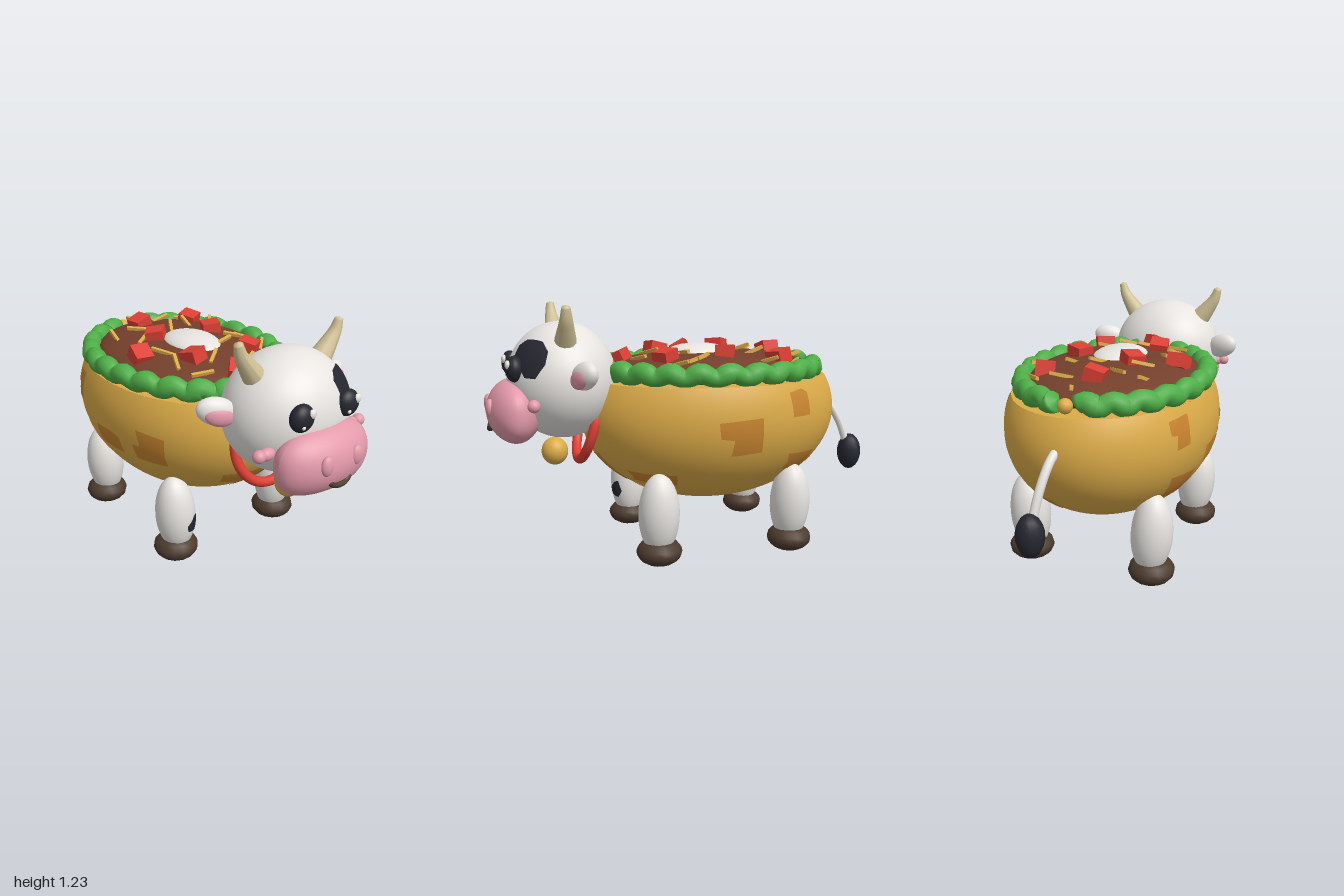
import * as THREE from 'three';

const V = (x, y, z) => new THREE.Vector3(x, y, z);
const paint = (name, color) => Object.assign(new THREE.MeshStandardMaterial({ color }), { name });

export function createModel() {
  const root = new THREE.Group();
  root.name = 'tacoBowlCow';
  const white = paint('white', 0xe9e6e2), black = paint('black', 0x262730), pink = paint('pink', 0xe39aaa);
  const red = paint('red', 0xdc4034), green = paint('lettuce green', 0x4fae48), shellCol = paint('shell yellow', 0xdcab48);
  const char = paint('toasted orange', 0xc98530), meat = paint('meat brown', 0x74402c);
  const horn = paint('horn tan', 0xd0c196), hoof = paint('hoof brown', 0x4c3a2d);
  char.side = black.side = THREE.DoubleSide;

  const add = (name, geo, mat, parent = root) => {
    const m = new THREE.Mesh(geo, mat);
    m.name = name;
    parent.add(m);
    return m;
  };
  const ball = (name, mat, c, r, parent = root, seg = 24) => {
    const m = add(name, new THREE.SphereGeometry(1, seg, Math.ceil(seg * 0.7)).scale(...r), mat, parent);
    m.position.set(...c);
    return m;
  };

  // Tube whose radius follows a rule along the path
  const taper = (points, radius, segs = 24, sides = 14) => {
    const path = new THREE.CatmullRomCurve3(points);
    const geo = new THREE.TubeGeometry(path, segs, 1, sides);
    const pos = geo.attributes.position, v = V();
    for (let i = 0; i < pos.count; i++) {
      const t = Math.floor(i / (sides + 1)) / segs, c = path.getPointAt(t);
      v.fromBufferAttribute(pos, i).sub(c).multiplyScalar(radius(t)).add(c);
      pos.setXYZ(i, v.x, v.y, v.z);
    }
    geo.computeVertexNormals();
    return geo;
  };

  // Thin painted patch that hugs an ellipsoid; outline is given in its tangent plane
  const patch = (name, mat, c, r, p, outline, parent = root, lift = 1.008) => {
    const C = V(...c), R = V(...r);
    const n = p.clone().sub(C).divide(R).divide(R).normalize();
    const t = V(0, 1, 0).cross(n).normalize(), b = n.clone().cross(t);
    const rings = 8, sub = 5, count = outline.length * sub, pos = [], index = [];
    for (let k = 0; k <= rings; k++) {
      for (let i = 0; i < count; i++) {
        const a = outline[Math.floor(i / sub)], e = outline[(Math.floor(i / sub) + 1) % outline.length];
        const f = (i % sub) / sub, s = k / rings;
        const q = p.clone().addScaledVector(t, s * (a[0] + (e[0] - a[0]) * f))
          .addScaledVector(b, s * (a[1] + (e[1] - a[1]) * f));
        q.sub(C).divide(R).normalize().multiplyScalar(lift).multiply(R).add(C);
        pos.push(q.x, q.y, q.z);
        if (k < rings) {
          const i0 = k * count + i, i1 = k * count + (i + 1) % count;
          index.push(i0, i0 + count, i1 + count, i0, i1 + count, i1);
        }
      }
    }
    const geo = new THREE.BufferGeometry();
    geo.setAttribute('position', new THREE.Float32BufferAttribute(pos, 3));
    geo.setIndex(index);
    geo.computeVertexNormals();
    return add(name, geo, mat, parent);
  };

  // Bowl-shaped shell, cut flat at the rim
  const sc = [0, 0.69, -0.12], sr = [0.495, 0.45, 0.66], cut = Math.acos(0.17 / 0.45);
  add('shell', new THREE.SphereGeometry(1, 56, 32, 0, Math.PI * 2, cut, Math.PI - cut).scale(...sr), shellCol).position.set(...sc);
  const lid = add('shellRim', new THREE.CircleGeometry(1, 56).rotateX(-Math.PI / 2).scale(0.458, 1, 0.611), shellCol);
  lid.position.set(0, 0.86, -0.12);

  // Toasted spots: axis to solve, sign, horizontal coordinate, height, width, height of spot
  const spots = [
    ['x', 1, -0.11, 0.63, 0.22, 0.18], ['x', 1, -0.46, 0.47, 0.21, 0.12], ['x', 1, -0.43, 0.77, 0.13, 0.13],
    ['x', 1, -0.61, 0.41, 0.14, 0.1], ['x', -1, 0.2, 0.62, 0.16, 0.16], ['x', -1, -0.08, 0.58, 0.22, 0.11],
    ['x', -1, -0.42, 0.75, 0.13, 0.15], ['x', -1, -0.33, 0.46, 0.2, 0.18], ['z', 1, -0.42, 0.575, 0.2, 0.09],
    ['z', 1, -0.03, 0.43, 0.32, 0.22], ['z', 1, 0.27, 0.41, 0.26, 0.1], ['z', 1, 0.08, 0.32, 0.12, 0.1],
  ];
  const shapes = [
    [[0.5, -0.45], [0.48, 0.5], [-0.5, 0.42], [-0.45, 0], [-0.15, -0.05], [-0.2, -0.5]],
    [[0.42, -0.5], [0.5, 0.4], [-0.5, 0.5], [-0.4, 0.05], [-0.45, -0.35]],
    [[0.45, -0.5], [0.4, 0.35], [0.1, 0.5], [-0.5, 0.4], [-0.42, -0.5]],
  ];
  spots.forEach(([axis, s, a, y, w, h], i) => {
    const ax = axis === 'x' ? 0 : 2, o = 2 - ax;
    const p = [0, y, 0];
    p[o] = a;
    p[ax] = sc[ax] + s * sr[ax] * Math.sqrt(1 - ((a - sc[o]) / sr[o]) ** 2 - ((y - sc[1]) / sr[1]) ** 2);
    patch('toastedSpot', char, sc, sr, V(...p), shapes[i % 3].map(([u, v]) => [u * w, v * h]), root, 1.006);
  });

  // Wavy lettuce roll with a small gap at the back
  const leaf = [];
  for (let i = 0; i <= 132; i++) {
    const a = 0.1 + (i / 132) * (Math.PI * 2 - 0.2);
    leaf.push(V(0.425 * Math.sin(a) - 0.015 * Math.cos(a / 2) ** 2, 0.908 + 0.012 * Math.sin(a * 24), -0.12 - 0.553 * Math.cos(a)));
  }
  add('lettuce', taper(leaf, t => (t === 0 || t === 1 ? 0 : 0.046 + 0.004 * Math.sin(t * 150)), 220, 12), green);
  ball('rimCurl', shellCol, [-0.02, 0.9, -0.69], [0.034, 0.034, 0.034], root, 12);

  // Filling
  ball('meatFilling', meat, [0, 0.9, -0.12], [0.395, 0.09, 0.53], root, 40);
  ball('sourCream', white, [0, 0.97, -0.06], [0.13, 0.055, 0.175]);
  const top = (x, z) => 0.9 + 0.09 * Math.sqrt(Math.max(0, 1 - (x / 0.395) ** 2 - ((z + 0.12) / 0.53) ** 2));
  [[-0.05, -0.46], [0.23, -0.4], [-0.12, -0.2], [0.18, -0.14], [-0.3, -0.06], [-0.13, 0.13], [0.18, 0.16], [-0.03, 0.34]]
    .forEach(([x, z], i) => {
      const m = add('tomatoCube', new THREE.BoxGeometry(0.09, 0.07, 0.09), red);
      m.position.set(x, top(x, z) + 0.012, z);
      m.rotation.set(0.3 * Math.sin(i * 2.1), i * 1.9 + 0.15, 0.3 * Math.cos(i * 1.7));
    });
  // Cheese shreds: x, z, heading
  [[-0.25, -0.38, 1.5], [-0.12, -0.37, -0.6], [0.1, -0.49, 0.2], [0.25, -0.48, -0.7], [0.02, -0.27, 1.1], [0.14, -0.3, 1.5],
    [0.3, -0.31, 0.9], [-0.18, -0.22, 0.6], [0.23, -0.01, -0.8], [0.26, 0.03, -1.1], [0.11, 0.05, 0.2], [-0.21, -0.01, -1],
    [-0.22, 0.12, 1.2], [-0.05, 0.18, 0.7], [-0.18, 0.27, -0.2], [0.09, 0.27, 0.5], [0.29, 0.13, 0.8], [0, -0.59, -1.1]]
    .forEach(([x, z, a]) => {
      const m = add('cheeseShred', new THREE.BoxGeometry(0.11, 0.016, 0.016), shellCol);
      m.position.set(x, top(x, z) + 0.01, z);
      m.rotation.set(0.3, a, 0.08);
    });

  // Head and muzzle
  const hc = [0, 0.867, 0.625], hr = [0.297, 0.278, 0.26];
  const head = new THREE.Group();
  head.name = 'headGroup';
  root.add(head);
  ball('head', white, hc, hr, head, 48);
  const snout = new THREE.SphereGeometry(1, 40, 28), sp = snout.attributes.position;
  for (let i = 0; i < sp.count; i++) {
    const x = sp.getX(i), y = sp.getY(i), k = 1 + 0.35 * x * x * y * y;
    sp.setXYZ(i, x * k * 0.245, y * k * 0.148, sp.getZ(i) * 0.13);
  }
  snout.computeVertexNormals();
  add('muzzle', snout, pink, head).position.set(0, 0.73, 0.855);
  const smile = [V(-0.06, 0.675, 0.962), V(-0.035, 0.655, 0.968), V(0, 0.65, 0.972), V(0.035, 0.655, 0.968), V(0.06, 0.675, 0.962)];
  add('mouth', taper(smile, t => (t === 0 || t === 1 ? 0 : 0.013)), hoof, head);
  patch('eyePatch', black, hc, hr, V(0.18, 1, 0.814), [[0.13, -0.02], [0.12, 0.05], [0.06, 0.1], [-0.05, 0.105], [-0.1, 0.07],
    [-0.105, 0], [-0.04, -0.04], [0.02, -0.1], [0.09, -0.1]], head, 1.015);

  for (const s of [-1, 1]) {
    ball('nostril', pink, [s * 0.085, 0.757, 0.968], [0.032, 0.045, 0.022], head);
    ball('cheek', pink, [s * 0.29, 0.79, 0.79], [0.03, 0.028, 0.028], head);
    ball('cheekBase', pink, [s * 0.245, 0.785, 0.785], [0.04, 0.028, 0.028], head);
    ball('eye', black, [s * 0.13, 0.94, 0.855], [0.058, 0.06, 0.042], head);
    ball('eyeShine', white, [s * 0.13 + 0.026, 0.962, 0.886], [0.02, 0.021, 0.013], head, 12);
    ball('eyeGlint', white, [s * 0.13 - 0.02, 0.915, 0.89], [0.009, 0.009, 0.007], head, 10);

    const ear = new THREE.Group();
    ear.name = 'ear';
    ear.position.set(s * 0.335, 0.922, 0.57);
    ear.rotation.set(0, s * 0.35, s * 0.3);
    head.add(ear);
    ball('earOuter', white, [0, 0, 0], [0.092, 0.062, 0.045], ear);
    ball('earInner', pink, [-s * 0.008, -0.012, 0.026], [0.068, 0.044, 0.026], ear);

    const hornPath = [V(s * 0.19, 1.06, 0.63), V(s * 0.232, 1.115, 0.632), V(s * 0.265, 1.165, 0.634), V(s * 0.285, 1.228, 0.636)];
    add('horn', taper(hornPath, t => (t === 1 ? 0 : 0.052 - 0.034 * t)), horn, head);
  }

  // Collar and bell
  const collar = add('collar', new THREE.TorusGeometry(0.178, 0.024, 14, 48), red);
  collar.position.set(0, 0.645, 0.51);
  collar.rotation.x = -0.28;
  ball('bell', shellCol, [0, 0.518, 0.672], [0.064, 0.068, 0.064]);

  // Legs with hooves
  for (const z of [0.235, -0.44]) for (const s of [-1, 1]) {
    const leg = new THREE.Group();
    leg.name = z > 0 ? 'frontLeg' : 'backLeg';
    leg.position.set(s * 0.318, 0, z);
    root.add(leg);
    const limb = ball('limb', white, [0, 0.25, 0], [0.098, 0.2, 0.098], leg, 28);
    limb.rotation.z = -s * 0.06;
    ball('hoof', hoof, [0, 0.069, 0], [0.11, 0.067, 0.11], leg, 14);
    if (z > 0 && s < 0) {
      patch('legSpot', black, [0, 0, 0], [0.098, 0.2, 0.098], V(0.042, -0.04, 0.087),
        [[0.05, -0.01], [0.03, 0.05], [0.005, 0.045], [-0.045, 0.005], [-0.04, -0.03], [0.02, -0.045]], limb, 1.02);
    }
  }

  // Tail
  add('tail', taper([V(-0.01, 0.73, -0.75), V(0, 0.68, -0.81), V(0.015, 0.58, -0.87), V(0.03, 0.45, -0.915)], () => 0.02), white);
  ball('tailTuft', black, [0.03, 0.407, -0.932], [0.063, 0.098, 0.063], root, 12);
  return root;
}
